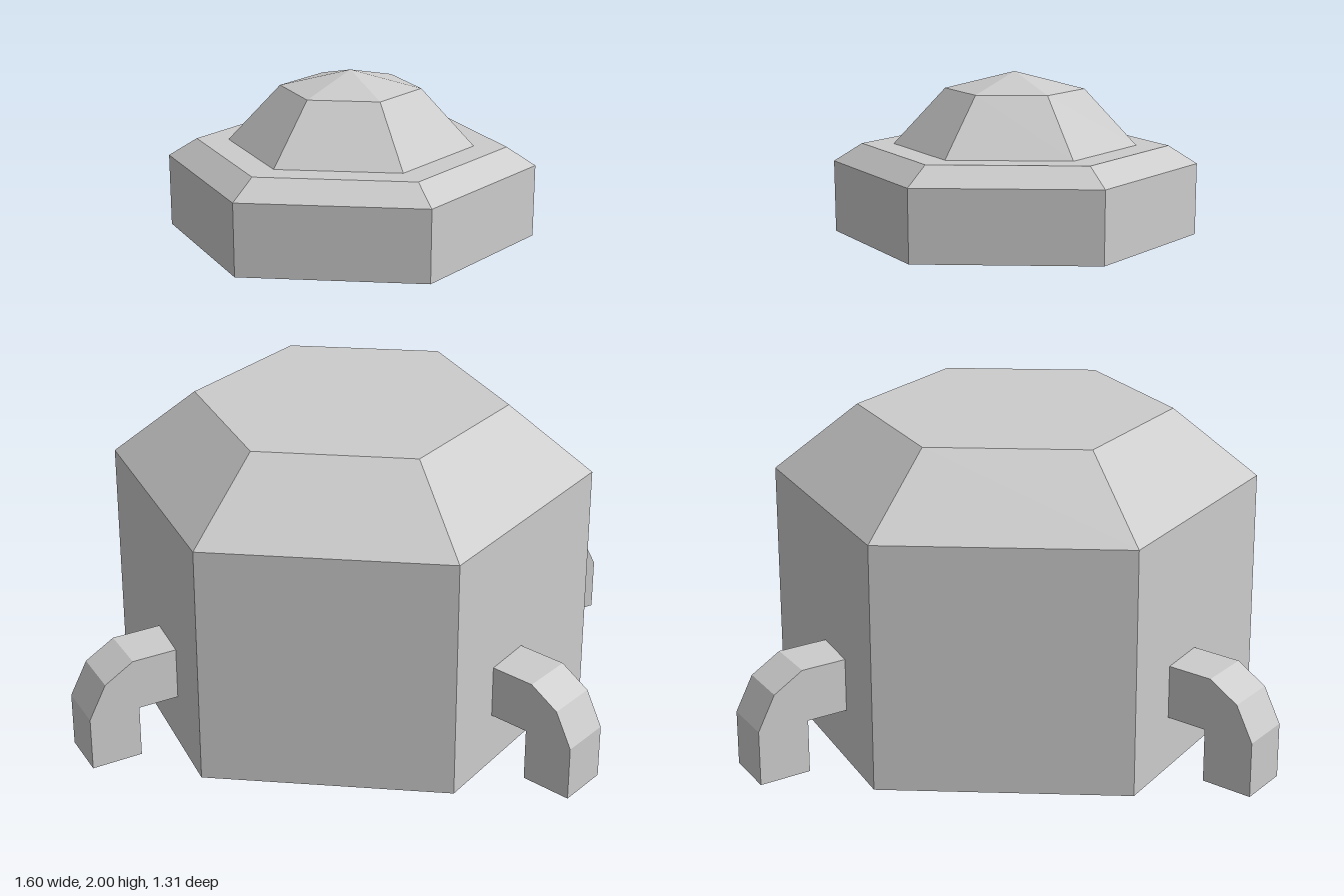
import * as THREE from 'three';

const material = new THREE.MeshStandardMaterial({ color: 0xcccccc, flatShading: true });

// Six-sided solid with corners on the x axis, from a [radius, y] profile
function hexSolid(name, profile) {
  const points = profile.map(([r, y]) => new THREE.Vector2(r, y));
  const mesh = new THREE.Mesh(new THREE.LatheGeometry(points, 6, Math.PI / 2), material);
  mesh.name = name;
  return mesh;
}

export function createModel() {
  const group = new THREE.Group();
  group.name = 'potWithLid';

  // Pot with bevelled shoulder
  group.add(hexSolid('body', [[0, 0], [0.755, 0], [0.755, 0.76], [0.49, 0.975], [0, 0.975]]));

  // Floating lid: bevelled rim with a faceted dome
  const lid = new THREE.Group();
  lid.name = 'lid';
  lid.add(hexSolid('lidRim', [[0, 1.52], [0.54, 1.52], [0.54, 1.732], [0.455, 1.785], [0, 1.785]]));
  lid.add(hexSolid('lidDome', [[0.36, 1.785], [0.205, 1.95], [0, 2]]));
  group.add(lid);

  // Bent leg: side profile (distance from centre, height) extruded to its width
  const width = 0.158;
  const profile = [
    [0.58, 0.165], [0.793, 0.165], [0.793, 0], [0.951, 0],
    [0.951, 0.17], [0.897, 0.275], [0.806, 0.33], [0.58, 0.33],
  ].map(([x, y]) => new THREE.Vector2(x, y));
  const legGeometry = new THREE.ExtrudeGeometry(new THREE.Shape(profile), { depth: width, bevelEnabled: false });
  legGeometry.translate(0, 0, -width / 2);

  // Four legs, mirrored left/right and front/back
  const angle = THREE.MathUtils.degToRad(35);
  for (const sx of [1, -1]) {
    for (const sz of [1, -1]) {
      const leg = new THREE.Mesh(legGeometry, material);
      leg.name = (sz > 0 ? 'front' : 'back') + (sx > 0 ? 'Left' : 'Right') + 'Leg';
      leg.rotation.y = -Math.atan2(sz * Math.sin(angle), sx * Math.cos(angle));
      leg.position.set(-sx * 0.04 * Math.sin(angle), 0, sz * 0.04 * Math.cos(angle));
      group.add(leg);
    }
  }
  return group;
}
